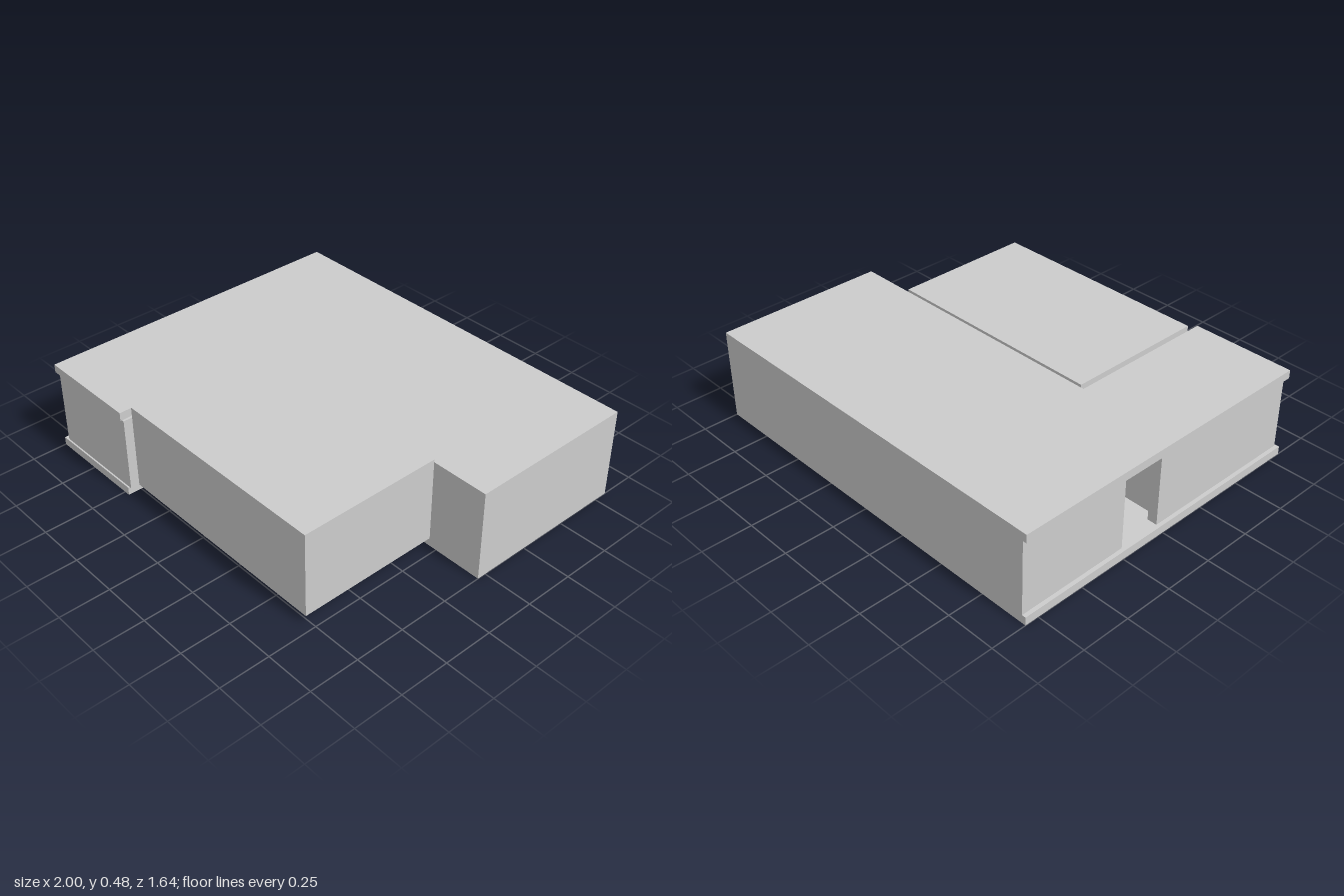
import * as THREE from 'three';

export function createModel() {
  const model = new THREE.Group();
  const grey = new THREE.MeshStandardMaterial({ color: 0xcccccc });
  grey.name = 'light grey';

  const add = (name, geometry) => {
    const mesh = new THREE.Mesh(geometry, grey);
    mesh.name = name;
    model.add(mesh);
  };

  // Box given by its extents along each axis
  const box = (name, [x0, x1], [y0, y1], [z0, z1]) => {
    const g = new THREE.BoxGeometry(x1 - x0, y1 - y0, z1 - z0);
    g.translate((x0 + x1) / 2, (y0 + y1) / 2, (z0 + z1) / 2);
    add(name, g);
  };

  // L-shaped slab lying flat between two heights
  const slab = (name, y0, y1) => {
    const plan = [[-1, -0.82], [-0.47, -0.82], [-0.47, -0.045], [1, -0.045], [1, 0.82], [-1, 0.82]];
    const shape = new THREE.Shape(plan.map(([x, y]) => new THREE.Vector2(x, y)));
    const g = new THREE.ExtrudeGeometry(shape, { depth: y1 - y0, bevelEnabled: false });
    g.rotateX(-Math.PI / 2);
    g.translate(0, y0, 0);
    add(name, g);
  };

  const floor = 0.042, ceiling = 0.42;
  const height = [floor, ceiling];
  slab('floorSlab', 0, floor);
  slab('roofSlab', ceiling, 0.462);

  // Outer walls of the rear block
  box('backWall', [-0.98, 1], height, [-0.82, -0.77]);
  box('leftEndWall', [0.95, 1], height, [-0.77, 0.045]);
  box('middleWall', [-0.93, 1], height, [0.025, 0.045]);

  // Side walls with the doorway gap between them
  box('rearSideWall', [-0.98, -0.93], height, [-0.77, -0.24]);
  box('frontSideWall', [-0.98, -0.93], height, [-0.02, 0.81]);

  // Walls of the front wing
  box('wingFrontWall', [-0.97, -0.458], height, [0.765, 0.812]);
  box('wingInnerWall', [-0.505, -0.458], height, [0.045, 0.765]);

  // Raised closed volume in the corner of the L
  box('raisedVolume', [-0.455, 0.71], [floor, 0.476], [0.045, 0.768]);

  return model;
}
